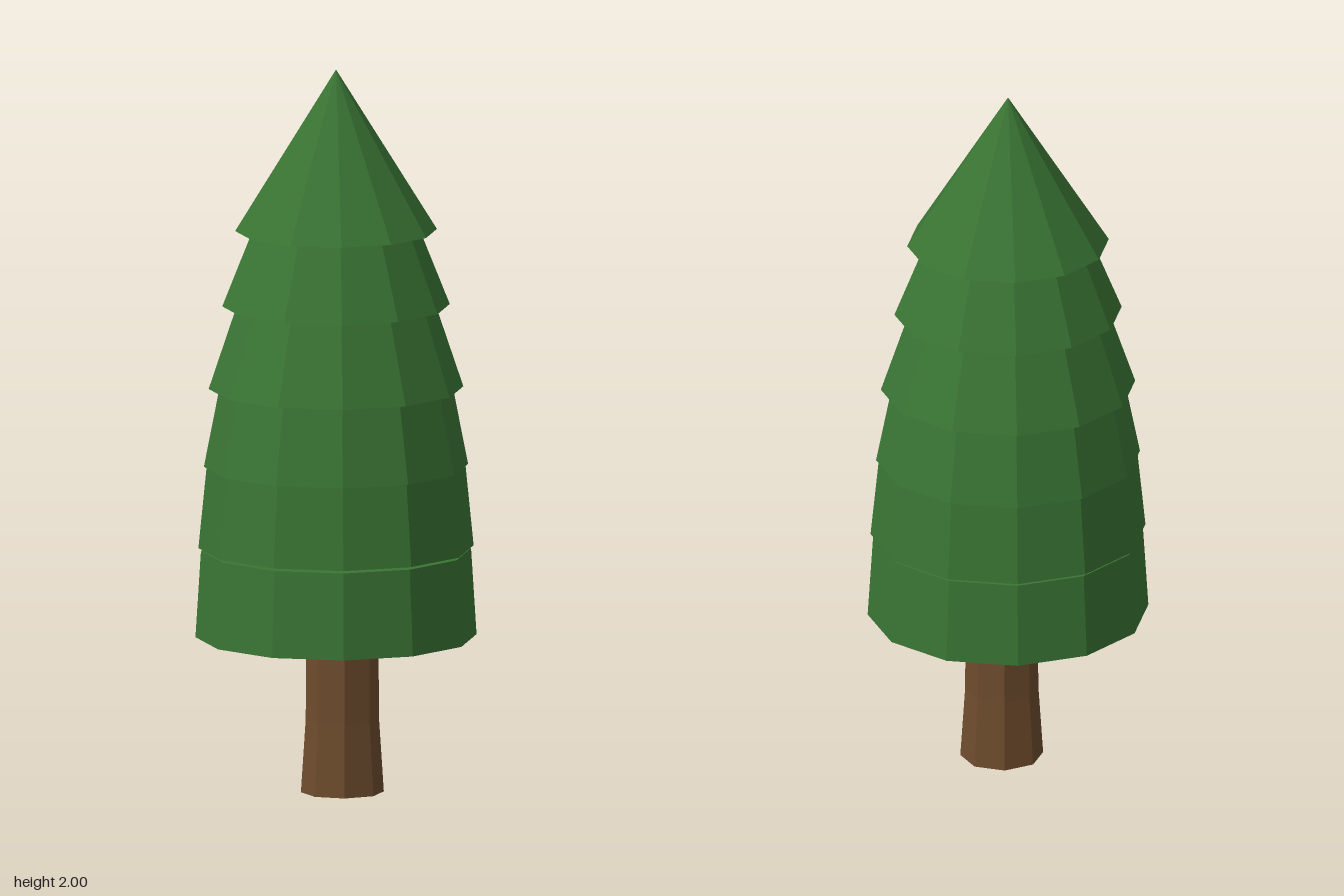
import * as THREE from 'three';

const leafMat = new THREE.MeshStandardMaterial({ color: 0x3a7534, flatShading: true });
const barkMat = new THREE.MeshStandardMaterial({ color: 0x6e4c2d, flatShading: true });

const DEPTH = 0.905; // every ring is slightly narrower front to back
const TILT = 0.015;  // the foliage rims rise a little toward the back

// Each tier: [bottom y, bottom radius, top y, top radius]
const tiers = [
  [0.434, 0.383, 0.672, 0.368],
  [0.680, 0.375, 0.910, 0.352],
  [0.905, 0.360, 1.125, 0.317],
  [1.120, 0.347, 1.350, 0.270],
  [1.348, 0.310, 1.562, 0.225],
  [1.556, 0.275, 2.000, 0],
];

function makeTier([y0, r0, y1, r1]) {
  const geo = new THREE.CylinderGeometry(r1, r0, y1 - y0, 12);
  geo.translate(0, (y0 + y1) / 2, 0).scale(1, 1, DEPTH);
  const p = geo.attributes.position;
  for (let i = 0; i < p.count; i++) p.setY(i, p.getY(i) - TILT * p.getZ(i));
  geo.computeVertexNormals();
  return new THREE.Mesh(geo, leafMat);
}

export function createModel() {
  const tree = new THREE.Group();
  tree.name = 'tree';

  // Eight-sided trunk, flared at the foot
  const profile = [[0, 0], [0.113, 0], [0.1, 0.2], [0.098, 0.45], [0, 0.45]]
    .map(([r, y]) => new THREE.Vector2(r, y));
  const trunk = new THREE.Mesh(new THREE.LatheGeometry(profile, 8), barkMat);
  trunk.name = 'trunk';
  trunk.scale.z = DEPTH;
  trunk.position.set(0.018, 0, -0.011);
  tree.add(trunk);

  // Stacked foliage, ending in a pointed cone
  const foliage = new THREE.Group();
  foliage.name = 'foliage';
  tiers.forEach((t, i) => {
    const tier = makeTier(t);
    tier.name = i === tiers.length - 1 ? 'treeTop' : `foliageTier${i + 1}`;
    foliage.add(tier);
  });
  tree.add(foliage);

  return tree;
}
